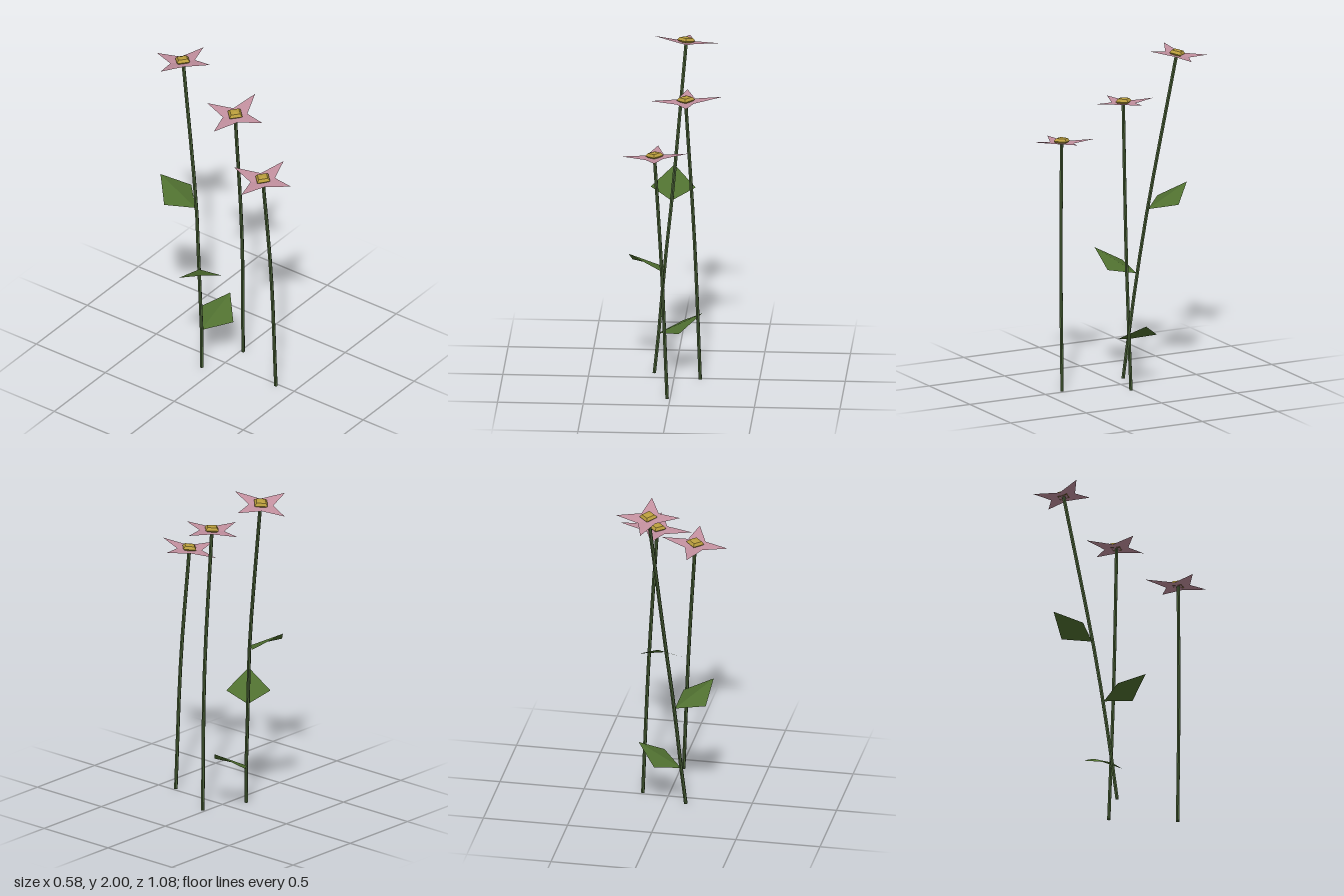
import * as THREE from 'three';

const make = (name, color) => {
  const m = new THREE.MeshStandardMaterial({ color, flatShading: true, side: THREE.DoubleSide });
  m.name = name;
  return m;
};
const V = (a) => new THREE.Vector3(...a);

// flat-shaded surface from a list of triangle corners
function facets(points) {
  const g = new THREE.BufferGeometry().setFromPoints(points);
  g.computeVertexNormals();
  return g;
}

export function createModel() {
  const petalPink = make('petalPink', 0xc491a0);
  const coreYellow = make('coreYellow', 0xb89c3c);
  const leafGreen = make('leafGreen', 0x507030);
  const stemGreen = make('stemGreen', 0x465c34);

  const model = new THREE.Group();
  model.name = 'flowers';
  const add = (parent, name, geometry, material) => {
    const mesh = new THREE.Mesh(geometry, material);
    mesh.name = name;
    parent.add(mesh);
    return mesh;
  };

  // stem: gently bent thin tube
  function stem(points, parent) {
    const curve = new THREE.CatmullRomCurve3(points.map(V));
    add(parent, 'stem', new THREE.TubeGeometry(curve, 8, 0.011, 6, false), stemGreen);
  }

  // blossom: four pointed petals around a shallow cup, tips given as right, back, left, front
  function blossom(x, y, z, tips, parent) {
    const [r, b, l, f] = tips;
    const sx = (r[1] - l[1]) / (r[0] - l[0]);
    const sz = (f[1] - b[1]) / (f[2] - b[2]);
    const onPlane = (dx, dz, dip) => new THREE.Vector3(x + dx, y + sx * dx + sz * dz - dip, z + dz);
    const centre = onPlane(0, 0, 0.015);
    const notch = [[1, -1], [-1, -1], [-1, 1], [1, 1]];
    const ring = tips.flatMap((t, i) => [V(t), onPlane(notch[i][0] * 0.051, notch[i][1] * 0.051, 0.012)]);
    add(parent, 'petals', facets(ring.flatMap((p, i) => [centre, p, ring[(i + 1) % 8]])), petalPink);

    // faceted domed core
    const profile = [[0.036, -0.015], [0.054, -0.002], [0.038, 0.014], [0, 0.021]];
    const dome = new THREE.LatheGeometry(profile.map((p) => new THREE.Vector2(...p)), 4);
    const core = add(parent, 'flowerCore', dome, coreYellow);
    core.position.set(x, y, z);
    core.quaternion.setFromUnitVectors(new THREE.Vector3(0, 1, 0), new THREE.Vector3(-sx, 1, -sz).normalize());
  }

  // leaf: diamond folded along its spine
  function leaf(base, right, tip, left, parent) {
    const [b, r, t, l] = [base, right, tip, left].map(V);
    add(parent, 'leaf', facets([b, r, t, b, t, l]), leafGreen);
  }

  const flowers = [
    {
      name: 'tallFlower',
      stem: [[-0.12, 0.004, -0.08], [-0.096, 0.24, -0.1], [-0.064, 0.64, -0.143], [-0.025, 1.03, -0.19], [0.05, 1.955, -0.342]],
      head: [0.05, 1.968, -0.346],
      tips: [[0.243, 1.955, -0.337], [0.06, 1.934, -0.54], [-0.142, 1.984, -0.363], [0.066, 2, -0.158]],
    },
    {
      name: 'middleFlower',
      stem: [[0.154, 0.004, 0.016], [0.122, 0.85, 0.031], [0.069, 1.712, 0.021]],
      head: [0.07, 1.726, 0.02],
      tips: [[0.286, 1.743, 0.006], [0.068, 1.721, -0.18], [-0.137, 1.712, 0.018], [0.082, 1.731, 0.207]],
    },
    {
      name: 'shortFlower',
      stem: [[-0.017, 0.004, 0.38], [-0.05, 0.8, 0.37], [-0.093, 1.475, 0.342]],
      head: [-0.093, 1.489, 0.341],
      tips: [[0.105, 1.505, 0.346], [-0.085, 1.476, 0.127], [-0.289, 1.474, 0.33], [-0.082, 1.505, 0.539]],
    },
  ];
  const groups = flowers.map((d) => {
    const g = new THREE.Group();
    g.name = d.name;
    stem(d.stem, g);
    blossom(...d.head, d.tips, g);
    model.add(g);
    return g;
  });

  // three leaves up the tall stem
  leaf([-0.026, 1.028, -0.195], [0.106, 1.067, -0.325], [-0.025, 1.163, -0.451], [-0.156, 1.067, -0.327], groups[0]);
  leaf([-0.067, 0.64, -0.139], [-0.252, 0.677, -0.15], [-0.264, 0.773, 0.031], [-0.082, 0.677, 0.043], groups[0]);
  leaf([-0.096, 0.242, -0.104], [0.03, 0.286, 0.037], [0.16, 0.376, -0.082], [0.042, 0.286, -0.216], groups[0]);

  return model;
}
